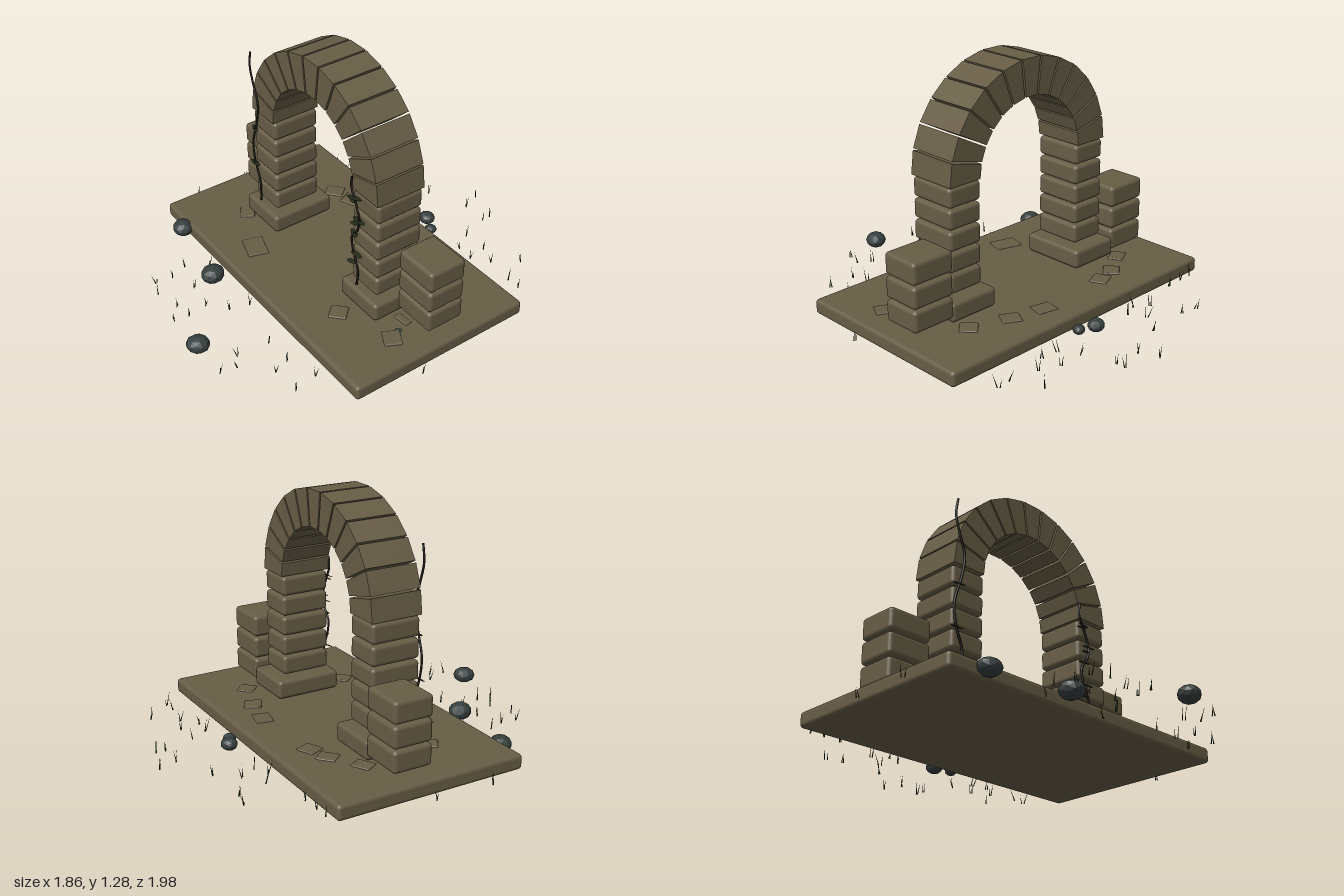
import * as THREE from 'three';
import { RoundedBoxGeometry } from 'three/addons/geometries/RoundedBoxGeometry.js';

export function createModel() {
  const group = new THREE.Group();
  const mat = (name, color, opts = {}) => {
    const m = new THREE.MeshStandardMaterial({ color, ...opts });
    m.name = name;
    return m;
  };
  const stone = mat('stone', 0x675d46);
  const rock = mat('rock', 0x363e3e, { flatShading: true });
  const vineMat = mat('vine', 0x1c1712);
  const leafMat = mat('leaf', 0x1d2716, { side: THREE.DoubleSide });
  const grassMat = mat('grass', 0x1b2a10, { side: THREE.DoubleSide });

  const add = (name, geometry, material, x = 0, y = 0, z = 0, parent = group) => {
    const mesh = new THREE.Mesh(geometry, material);
    mesh.name = name;
    mesh.position.set(x, y, z);
    parent.add(mesh);
    return mesh;
  };
  const block = (name, w, h, d, x, y, z, r = 0.02) =>
    add(name, new RoundedBoxGeometry(w, h, d, 3, Math.min(r, h * 0.45)), stone, x, y, z);

  let seed = 7;
  const rand = () => (seed = (seed * 16807) % 2147483647) / 2147483647;

  // Ground slab
  const cx = 0.01;
  block('platform', 1.76, 0.08, 1.033, cx, 0.045, 0.004);

  // Pedestals, piers and the lower side stacks
  for (const s of [-1, 1]) {
    const side = s > 0 ? 'left' : 'right';
    block(side + 'Pedestal', 0.285, 0.1, 0.36, cx + s * 0.433, 0.14, 0.005);
    for (let i = 0; i < 5; i++) {
      block(side + 'PierBlock', 0.2, 0.102, 0.267, cx + s * 0.434, 0.257 + i * 0.11, 0.013);
    }
    for (let i = 0; i < 3; i++) {
      block(side + 'StackBlock', 0.242, 0.114, 0.214, cx + s * 0.686, 0.173 + i * 0.122, -0.067);
    }
  }

  // Arch of thirteen wedge stones
  const count = 13, inner = 0.34, outer = 0.531, gap = 0.005;
  const half = Math.PI / count / 2;
  const wedge = new THREE.Shape();
  const wIn = inner * Math.tan(half) - gap, wOut = outer * Math.tan(half) - gap;
  wedge.moveTo(-wIn, inner);
  wedge.lineTo(wIn, inner);
  wedge.lineTo(wOut, outer);
  wedge.lineTo(-wOut, outer);
  wedge.closePath();
  const wedgeGeo = new THREE.ExtrudeGeometry(wedge, { depth: 0.278, bevelEnabled: false });
  wedgeGeo.translate(0, 0, -0.139);
  for (let i = 0; i < count; i++) {
    const v = add(i === 6 ? 'keystone' : 'archStone', wedgeGeo, stone, cx, 0.75, 0.0135);
    v.rotation.z = (6 - i) * 2 * half;
  }

  // Paving stones set into the slab: x, z, width, depth, turn
  const pavers = [
    [-0.415, -0.3, 0.1, 0.085, 0.7], [-0.295, -0.33, 0.1, 0.09, 0.4], [0.15, -0.355, 0.11, 0.09, -0.2],
    [0.34, -0.315, 0.1, 0.09, -0.5], [0.55, -0.245, 0.09, 0.09, -0.8], [-0.575, -0.2, 0.1, 0.08, 0.5],
    [-0.54, 0.205, 0.09, 0.08, -0.6], [-0.26, 0.335, 0.145, 0.11, -0.3], [0.415, 0.28, 0.09, 0.09, 0.75],
    [0.715, 0.18, 0.1, 0.09, -0.5], [0.64, 0.055, 0.09, 0.04, 0.1],
  ];
  for (const [x, z, w, d, a] of pavers) {
    block('pavingStone', w, 0.02, d, x, 0.081, z, 0.006).rotation.y = a;
  }

  // Loose rocks: x, y, z, radius
  const rocks = [
    [-0.665, 0.055, 0.545, 0.06], [-0.235, 0.055, 0.615, 0.065], [0.17, 0.055, 0.943, 0.06],
    [0.04, 0.045, -0.6, 0.046], [0.12, 0.035, -0.56, 0.034], [0.69, 0.073, 0.12, 0.026],
  ];
  for (const [x, y, z, r] of rocks) {
    const m = add('rock', new THREE.IcosahedronGeometry(r, 1), rock, x, y, z);
    m.scale.set(1, 0.72, 0.92);
    m.rotation.y = x * 5;
  }

  // Climbing vines: x and y along the front of each pier
  const vine = (name, pts) => {
    const curve = new THREE.CatmullRomCurve3(pts.map(([x, y]) => new THREE.Vector3(x, y, 0.157)));
    add(name, new THREE.TubeGeometry(curve, 64, 0.006, 6), vineMat);
  };
  vine('rightVine', [[-0.468, 0.195], [-0.468, 0.31], [-0.51, 0.43], [-0.523, 0.54], [-0.48, 0.69],
    [-0.463, 0.81], [-0.5, 0.92], [-0.524, 1.01], [-0.513, 1.1]]);
  vine('leftVine', [[0.398, 0.195], [0.405, 0.285], [0.36, 0.41], [0.355, 0.47], [0.4, 0.54],
    [0.41, 0.6], [0.375, 0.7], [0.345, 0.765], [0.35, 0.83]]);

  // Small leaves on the vines: x, y, half length
  const leaves = [
    [-0.495, 0.645, 0.035], [-0.505, 0.42, 0.04], [0.375, 0.715, 0.045], [0.36, 0.7, 0.03],
    [0.41, 0.6, 0.045], [0.385, 0.57, 0.03], [0.375, 0.505, 0.035], [0.395, 0.385, 0.04], [0.36, 0.32, 0.03],
  ];
  const leafGeo = new THREE.CircleGeometry(1, 8);
  leaves.forEach(([x, y, r], i) => {
    const l = add('leaf', leafGeo, leafMat, x, y, 0.16);
    l.scale.set(r, 0.014, 1);
    l.rotation.set(-1.3, 0, (i % 3 - 1) * 0.3);
  });

  // Grass blades around the slab: x, z
  const tufts = [
    0.02, -0.98, 0.055, -0.88, 0.2, -0.925, 0.205, -0.87, 0.26, -0.7, 0.4, -0.7, 0.595, -0.79, 0.505, -0.66,
    0.665, -0.635, 0.73, -0.645, -0.5, -0.785, -0.42, -0.775, -0.26, -0.68, -0.17, -0.79, -0.37, -0.61,
    -0.21, -0.59, -0.29, -0.555, -0.79, -0.53, -0.71, -0.53, -0.61, -0.53, 0.32, -0.6, 0.415, -0.59,
    -0.42, 0.68, -0.39, 0.77, -0.35, 0.57, -0.4, 0.86, -0.31, 0.9, -0.18, 0.86, -0.08, 0.85, -0.09, 0.93,
    -0.245, 0.725, -0.1, 0.74, 0.03, 0.56, 0, 0.66, 0.32, 0.635, 0.31, 0.81, 0.375, 0.85, 0.35, 0.93,
    0.48, 0.635, 0.505, 0.715, 0.655, 0.7, 0.64, 0.58, -0.91, -0.01, -0.92, 0.305, 0.92, 0.15,
  ];
  const bladeGeo = new THREE.ConeGeometry(0.0035, 1, 3);
  bladeGeo.translate(0, 0.5, 0);
  const grass = new THREE.Group();
  grass.name = 'grass';
  group.add(grass);
  for (let i = 0; i < tufts.length; i += 2) {
    for (let k = 0; k < 2; k++) {
      const off = k * 0.02 * (rand() - 0.5);
      const b = add('grassBlade', bladeGeo, grassMat, tufts[i] + off, 0.005, tufts[i + 1] + off, grass);
      b.scale.y = 0.045 + rand() * 0.035;
      b.rotation.set((rand() - 0.5) * 0.5, rand() * 3, (rand() - 0.5) * 0.5);
    }
  }
  return group;
}
